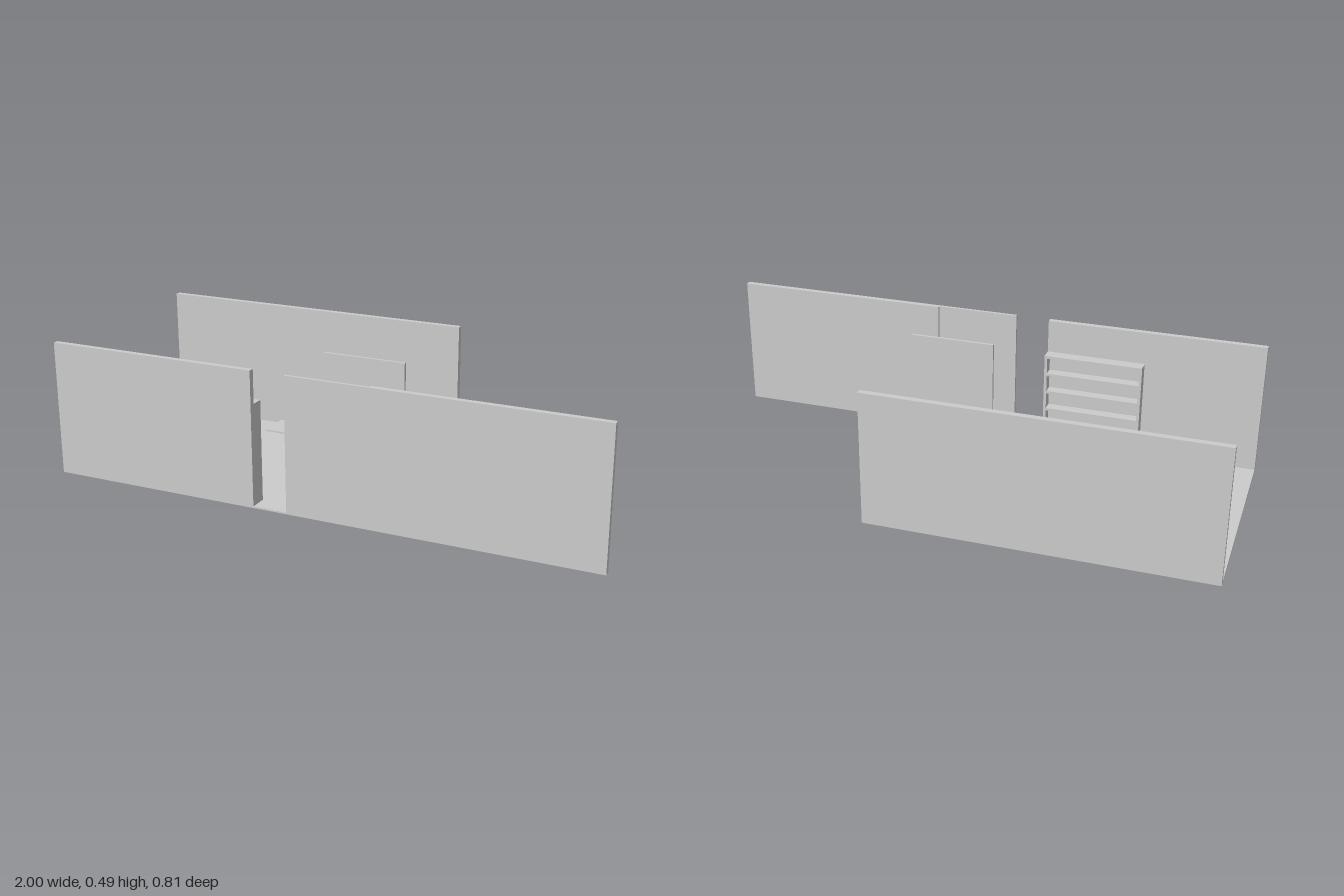
import * as THREE from 'three';

export function createModel() {
  const model = new THREE.Group();
  model.name = 'furnishedRoom';
  const plainGrey = new THREE.MeshStandardMaterial({ color: 0xcccccc });
  plainGrey.name = 'plainGrey';

  const FLOOR = 0.006, WALL = 0.485;

  // Box given by its limits on each axis
  function slab(parent, name, [x0, x1], [y0, y1], [z0, z1]) {
    const mesh = new THREE.Mesh(new THREE.BoxGeometry(x1 - x0, y1 - y0, z1 - z0), plainGrey);
    mesh.position.set((x0 + x1) / 2, (y0 + y1) / 2, (z0 + z1) / 2);
    mesh.name = name;
    parent.add(mesh);
  }

  function part(name) {
    const group = new THREE.Group();
    group.name = name;
    model.add(group);
    return group;
  }

  // A top board or block standing on four square legs
  function onLegs(name, [x0, x1], [y0, y1], [z0, z1], leg, inset) {
    const group = part(name);
    slab(group, 'top', [x0, x1], [y0, y1], [z0, z1]);
    for (const x of [x0 + inset, x1 - inset - leg])
      for (const z of [z0 + inset, z1 - inset - leg])
        slab(group, 'leg', [x, x + leg], [FLOOR, y0], [z, z + leg]);
  }

  // Floor and walls, with a doorway in the front
  slab(model, 'floor', [-1, 0.21], [0, FLOOR], [-0.405, 0.405]);
  slab(model, 'backWall', [-1, 0.21], [0, WALL], [-0.405, -0.383]);
  slab(model, 'frontWallRight', [-1, -0.215], [0, WALL], [0.384, 0.405]);
  slab(model, 'frontWallThin', [-0.09, 0.21], [0, WALL], [0.394, 0.405]);
  slab(model, 'frontWallExtension', [0.21, 1], [0, WALL], [0.384, 0.405]);
  slab(model, 'partition', [-0.09, 0.21], [FLOOR, WALL], [0.105, 0.115]);

  // Bookcase against the front wall, open towards the room
  const bookcase = part('bookcase');
  const [left, right, top, board] = [-0.575, -0.215, 0.365, 0.01];
  slab(bookcase, 'side', [left, left + board], [FLOOR, top], [0.34, 0.384]);
  slab(bookcase, 'side', [right - board, right], [FLOOR, top], [0.34, 0.384]);
  slab(bookcase, 'backPanel', [left + board, right - board], [FLOOR, top], [0.379, 0.384]);
  for (let i = 0; i < 6; i++) {
    const y = FLOOR + (top - board - FLOOR) * i / 5;
    slab(bookcase, 'shelf', [left + board, right - board], [y, y + board], [0.34, 0.379]);
  }

  // Bed
  const bed = part('bed');
  slab(bed, 'platform', [-0.905, -0.69], [FLOOR, 0.039], [0.045, 0.282]);
  slab(bed, 'headboard', [-0.905, -0.69], [0.039, 0.122], [0.279, 0.285]);

  // Desk with end panels and its bench
  const desk = part('desk');
  for (const x of [-0.945, -0.592])
    slab(desk, 'endPanel', [x, x + 0.013], [FLOOR, 0.104], [-0.2, -0.079]);
  slab(desk, 'deskTop', [-0.932, -0.592], [0.09, 0.098], [-0.19, -0.083]);
  slab(desk, 'apron', [-0.932, -0.592], [0.085, 0.104], [-0.2, -0.19]);
  slab(desk, 'modestyPanel', [-0.932, -0.592], [FLOOR, 0.09], [-0.09, -0.083]);
  onLegs('bench', [-0.78, -0.64], [0.045, 0.05], [-0.26, -0.183], 0.006, 0.004);

  // Tables and the raised counter board
  onLegs('longTable', [-0.093, 0.15], [0.087, 0.092], [-0.188, -0.077], 0.007, 0.007);
  onLegs('smallTable', [-0.03, 0.15], [0.087, 0.092], [0.262, 0.345], 0.006, 0.006);
  slab(model, 'counterBoard', [-0.4, -0.093], [0.111, 0.117], [-0.137, -0.018]);

  // Block chairs
  for (const [x, z] of [[-0.03, -0.238], [0.043, -0.238], [0.115, -0.238], [0.055, 0.21]])
    onLegs('chair', [x - 0.026, x + 0.026], [0.057, 0.11], [z - 0.026, z + 0.026], 0.005, 0.001);

  return model;
}
